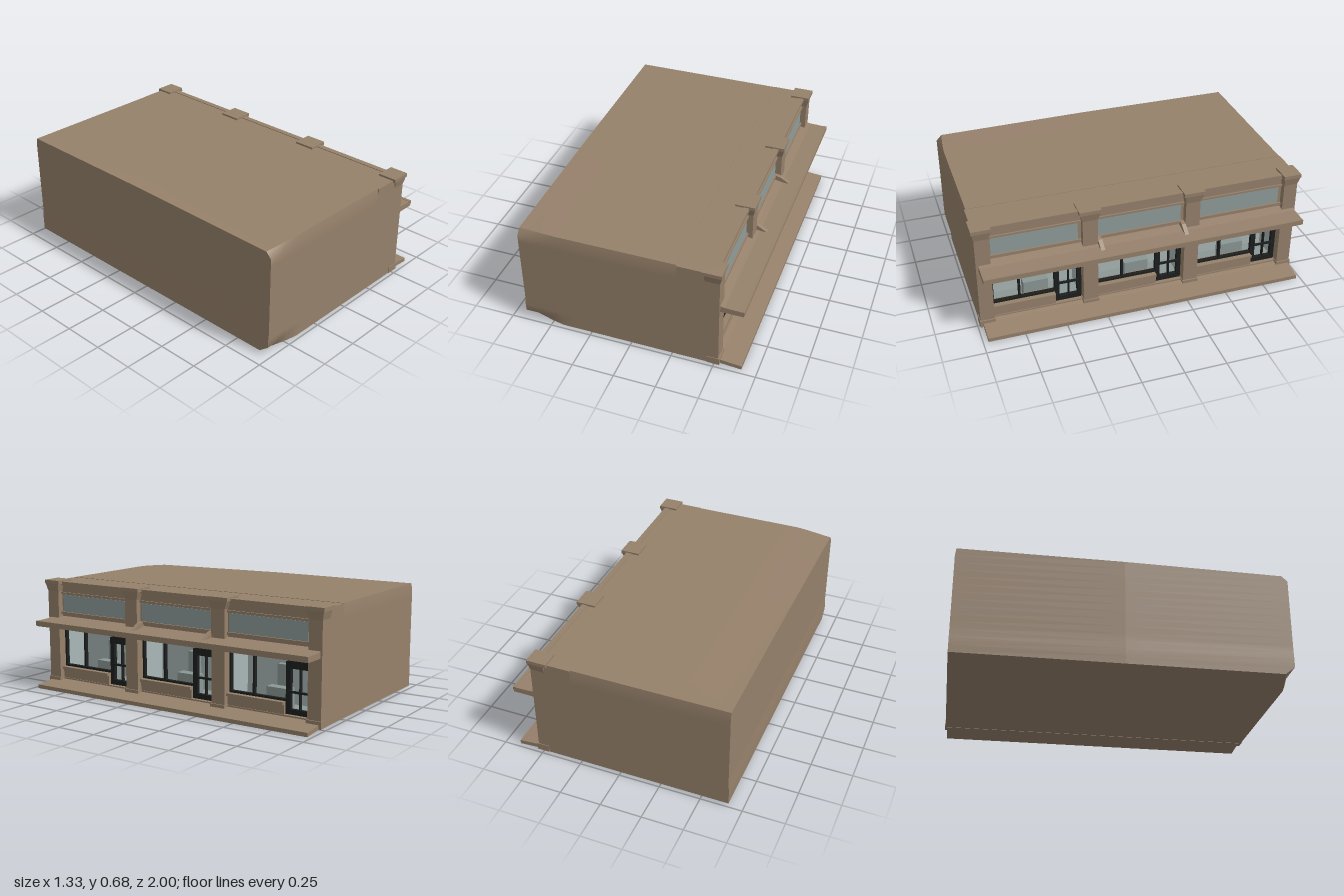
import * as THREE from 'three';

const mat = (name, color) => Object.assign(new THREE.MeshStandardMaterial({ color }), { name });

export function createModel() {
  const stucco = mat('tan stucco', 0x96816b);
  const glass = mat('upper glass', 0x8f9d9a);
  const pale = mat('pale interior', 0xa9b7b6);
  const shelf = mat('interior fixtures', 0x8b9896);
  const black = mat('black frame', 0x1d1f1f);

  const model = new THREE.Group();
  model.name = 'shopBuilding';

  // Box given by its minimum and maximum along x, y and z
  function box(name, material, x0, x1, y0, y1, z0, z1, parent = model, segs = [1, 1, 1]) {
    const g = new THREE.BoxGeometry(x1 - x0, y1 - y0, z1 - z0, ...segs);
    g.translate((x0 + x1) / 2, (y0 + y1) / 2, (z0 + z1) / 2);
    const m = new THREE.Mesh(g, material);
    m.name = name;
    parent.add(m);
    return m;
  }

  // Prism with an xy profile, running from z0 to z1
  function prism(name, material, points, z0, z1, parent = model) {
    const shape = new THREE.Shape(points.map(([x, y]) => new THREE.Vector2(x, y)));
    const g = new THREE.ExtrudeGeometry(shape, { depth: z1 - z0, bevelEnabled: false });
    g.translate(0, 0, z0);
    const m = new THREE.Mesh(g, material);
    m.name = name;
    parent.add(m);
    return m;
  }

  // Main block, with softened top edge and worn rear corner
  const body = box('mainBlock', stucco, -0.66, 0.28, 0.012, 0.67, -0.985, 0.985, model, [12, 14, 2]);
  const p = body.geometry.attributes.position;
  for (let i = 0; i < p.count; i++) {
    const x = p.getX(i), y = p.getY(i), z = p.getZ(i);
    const corner = THREE.MathUtils.clamp((-0.45 - x) / 0.21, 0, 1);
    if (z > 0.9) {
      if (y > 0.66) p.setXYZ(i, x, y - 0.012 * corner, z - 0.008 - 0.025 * corner);
      if (y < 0.06) p.setZ(i, z - 0.06 * corner * (0.06 - y) / 0.048);
    }
    if (z < -0.9 && y > 0.66) p.setZ(i, z + 0.006);
    if (x < -0.65 && y < 0.11) p.setX(i, x - 0.004);
  }
  body.geometry.computeVertexNormals();

  // Upper front wall and its coping
  box('upperWall', stucco, 0.28, 0.49, 0.395, 0.668, -0.985, 0.985);
  box('coping', stucco, 0.47, 0.505, 0.648, 0.672, -0.96, 0.96);
  box('frontFooting', stucco, 0.28, 0.5, 0.012, 0.05, -0.985, 0.985);

  // Pavement slab and canopy, both running the length of the shopfront
  prism('pavementSlab', stucco, [[0.48, 0.01], [0.53, 0.01], [0.66, 0.0], [0.66, 0.024], [0.53, 0.036], [0.48, 0.045]], -0.975, 0.97);
  prism('canopy', stucco, [[0.48, 0.402], [0.66, 0.402], [0.66, 0.434], [0.55, 0.437], [0.48, 0.452]], -0.975, 0.97);
  box('canopyLip', stucco, 0.645, 0.664, 0.41, 0.436, -0.975, 0.97);

  // Wall piers between the bays, columns and flared caps
  const piers = [[0.9, 0.985, 0.885, 1], [0.27, 0.36, 0.25, 0.38], [-0.36, -0.27, -0.385, -0.255], [-0.985, -0.9, -1, -0.89]];
  for (const [z0, z1, c0, c1] of piers) {
    const pier = new THREE.Group();
    pier.name = 'pier';
    model.add(pier);
    box('pierWall', stucco, 0.28, 0.49, 0.012, 0.4, z0, z1, pier);
    box('column', stucco, 0.46, 0.527, 0.012, 0.65, z0, z1, pier);
    box('columnFoot', stucco, 0.46, 0.535, 0.012, 0.055, z0 - 0.004, z1 + 0.004, pier);
    box('columnCap', stucco, 0.42, 0.54, 0.658, 0.68, c0, c1, pier);
    // Corbel tapers from the cap to the column
    const corbel = box('capFlare', stucco, 0.44, 0.538, 0.61, 0.658, c0 + 0.004, c1 - 0.004, pier);
    const q = corbel.geometry.attributes.position;
    for (let i = 0; i < q.count; i++) {
      if (q.getY(i) > 0.63) continue;
      q.setZ(i, q.getZ(i) > (c0 + c1) / 2 ? z1 : z0);
      if (q.getX(i) > 0.5) q.setX(i, 0.527);
    }
    corbel.geometry.computeVertexNormals();
  }

  // Three equal shop bays, each running from a down to a - 0.54
  for (const a of [0.9, 0.27, -0.36]) {
    const bay = new THREE.Group();
    bay.name = 'shopBay';
    model.add(bay);
    const b = a - 0.54, d = b + 0.165, mid = a - 0.165;

    // Upper window and sill
    box('upperWindow', glass, 0.488, 0.494, 0.48, 0.588, b + 0.02, a - 0.01, bay);
    box('upperSill', stucco, 0.48, 0.502, 0.462, 0.478, b, a, bay);
    box('upperHead', stucco, 0.48, 0.5, 0.592, 0.604, b, a, bay);

    // Interior lining
    box('interiorBack', pale, 0.278, 0.284, 0.05, 0.395, b, a, bay);
    box('interiorFloor', shelf, 0.28, 0.45, 0.048, 0.054, b, a, bay);
    box('interiorCeiling', pale, 0.28, 0.45, 0.39, 0.397, b, a, bay);
    for (const z of [b, a - 0.005]) box('interiorSide', pale, 0.28, 0.45, 0.05, 0.395, z, z + 0.005, bay);
    // Counter and shelving
    box('counter', shelf, 0.34, 0.4, 0.05, 0.17, d + 0.02, d + 0.17, bay);
    box('shelves', shelf, 0.284, 0.32, 0.05, 0.29, a - 0.3, a - 0.23, bay);

    // Low wall below the shop window
    box('stallRiser', stucco, 0.43, 0.495, 0.012, 0.115, d, a, bay);
    box('riserLedge', stucco, 0.43, 0.508, 0.105, 0.122, d, a, bay);

    // Shop window frame
    const bar = (name, y0, y1, z0, z1) => box(name, black, 0.452, 0.476, y0, y1, z0, z1, bay);
    bar('headFrame', 0.378, 0.397, b, a);
    bar('sillFrame', 0.122, 0.134, d, a);
    bar('sideFrame', 0.122, 0.39, a - 0.012, a);
    bar('mullion', 0.122, 0.39, mid - 0.006, mid + 0.006);

    // Door with dark transom, rails and push bar
    bar('transom', 0.345, 0.38, b, d - 0.015);
    bar('doorStile', 0.05, 0.35, b, b + 0.026);
    bar('doorStile', 0.05, 0.35, d - 0.03, d);
    bar('doorTopRail', 0.312, 0.35, b, d);
    bar('doorBottomRail', 0.05, 0.08, b, d);
    bar('doorCentreBar', 0.08, 0.315, b + 0.074, b + 0.08);
    box('pushBar', black, 0.476, 0.488, 0.176, 0.188, b + 0.02, d - 0.02, bay);

    // Round lamp below the canopy
    const lamp = new THREE.Mesh(new THREE.CylinderGeometry(0.026, 0.02, 0.02, 12), stucco);
    lamp.name = 'canopyLamp';
    lamp.position.set(0.565, 0.393, (a + b) / 2);
    bay.add(lamp);
  }

  // Sloping brackets where the canopy meets the middle columns
  for (const z of [0.245, -0.27]) {
    prism('canopyBracket', stucco, [[0.48, 0.43], [0.6, 0.43], [0.53, 0.472], [0.48, 0.48]], z, z + 0.025);
  }
  return model;
}
